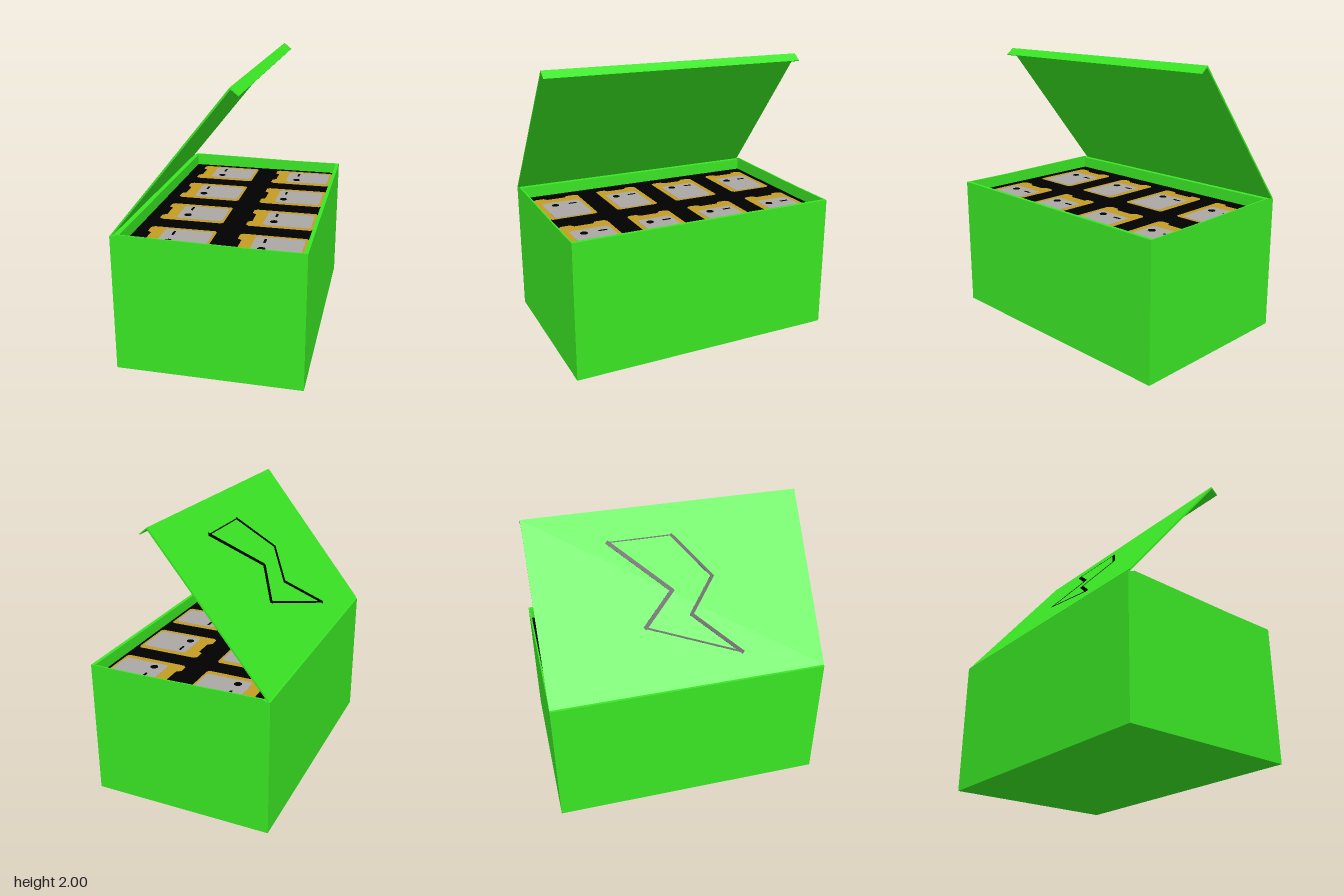
import * as THREE from 'three';

const mat = (name, color) => {
  const m = new THREE.MeshStandardMaterial({ color });
  m.name = name;
  return m;
};

export function createModel() {
  const green = mat('green', 0x3ae624);
  const black = mat('black', 0x000000);
  const gold = mat('gold', 0xc49c24);
  const grey = mat('grey', 0xaaa7a5);
  const root = new THREE.Group();
  root.name = 'openCrate';

  const add = (parent, name, geo, material, x = 0, y = 0, z = 0) => {
    const m = new THREE.Mesh(geo, material);
    m.name = name;
    m.position.set(x, y, z);
    parent.add(m);
    return m;
  };
  // Closed outline given as [x, z] pairs, raised into a flat slab along y
  const outline = (pts) => new THREE.Shape(pts.map(([x, z]) => new THREE.Vector2(x, -z)));
  const slab = (shape, depth) =>
    new THREE.ExtrudeGeometry(shape, { depth, bevelEnabled: false }).rotateX(-Math.PI / 2);
  // Rectangle with clipped corners
  const clipped = (x0, x1, z0, z1, c) => [
    [x0 + c, z0], [x1 - c, z0], [x1, z0 + c], [x1, z1 - c],
    [x1 - c, z1], [x0 + c, z1], [x0, z1 - c], [x0, z0 + c],
  ];

  // Crate: four walls (hole wound against the outer edge), floor and inner tray
  const W = 0.653, D = 0.983, H = 0.985, TRAY = 0.9;
  const wall = outline([[-W, D], [W, D], [W, -D], [-W, -D]]);
  wall.holes.push(outline([[-0.6, -0.972], [0.627, -0.972], [0.627, 0.972], [-0.6, 0.972]]));
  add(root, 'walls', slab(wall, H), green);
  add(root, 'floor', new THREE.BoxGeometry(2 * W - 0.02, 0.02, 2 * D - 0.02), green, 0, 0.0101, 0);
  add(root, 'tray', new THREE.BoxGeometry(1.23, 0.02, 1.95), black, 0.0135, TRAY - 0.01, 0);

  // Slightly sloping strips on the front and back rims
  const wedge = new THREE.Shape([
    new THREE.Vector2(-0.63, H), new THREE.Vector2(0.26, H), new THREE.Vector2(-0.6, 0.998),
  ]);
  for (const z of [-D, D - 0.011]) {
    add(root, 'rimStrip', new THREE.ExtrudeGeometry(wedge, { depth: 0.011, bevelEnabled: false }), green, 0, 0, z);
  }

  // Cards in the tray: two columns of four rows
  const rows = [
    { gold: [-0.93, -0.59], grey: [-0.895, -0.635], mark: 0.33, bar: -0.83, dot: -0.695 },
    { gold: [-0.445, -0.09], grey: [-0.405, -0.125], mark: 0.302, bar: -0.34, dot: -0.2 },
    { gold: [0.065, 0.395], grey: [0.105, 0.36], mark: 0.315, bar: 0.16, dot: 0.29 },
    { gold: [0.55, 0.91], grey: [0.58, 0.87], mark: 0.32, bar: 0.65, dot: 0.785 },
  ];
  for (const dx of [0, -0.64]) {
    for (const r of rows) {
      const card = new THREE.Group();
      card.name = 'card';
      card.position.set(dx, TRAY, 0);
      root.add(card);
      const [z0, z1] = r.gold, mid = (z0 + z1) / 2;
      // Gold backing with a notched left edge
      add(card, 'cardBorder', slab(outline([
        [0.15, z0], [0.59, z0], [0.605, z0 + 0.02], [0.605, z1 - 0.02], [0.59, z1], [0.15, z1],
        [0.13, z1 - 0.02], [0.13, mid + 0.09], [0.16, mid + 0.07],
        [0.16, mid - 0.07], [0.13, mid - 0.09], [0.13, z0 + 0.02],
      ]), 0.002), gold);
      add(card, 'cardPanel', slab(outline(clipped(0.245, 0.588, ...r.grey, 0.018)), 0.002), grey, 0, 0.002, 0);
      add(card, 'cardBar', new THREE.BoxGeometry(0.016, 0.002, 0.062), black, r.mark, 0.005, r.bar);
      add(card, 'cardDot', new THREE.CylinderGeometry(0.028, 0.028, 0.002, 8), black, r.mark, 0.005, r.dot);
    }
  }

  // Lid hinged on the right edge, tilted open
  const angle = Math.atan2(1.005, 0.805), L = 1.287, T = 0.012;
  const lid = new THREE.Group();
  lid.name = 'lid';
  lid.position.set(-0.636, 0.986, 0);
  lid.rotation.z = angle;
  root.add(lid);
  add(lid, 'lidPanel', new THREE.BoxGeometry(L, T, 2 * D), green, L / 2, T / 2, 0);
  add(lid, 'lidLip', new THREE.BoxGeometry(0.006, 0.062, 2 * D), green, L - 0.003, -0.031, 0);

  // Zigzag outline on the lid: [x seen from above, z, stroke width to the next corner]
  const bolt = [
    [0.02, -0.425, 0.028], [-0.22, -0.03, 0.028], [-0.365, -0.255, 0.013], [-0.53, 0.4, 0.026],
    [-0.335, 0.08, 0.024], [-0.18, 0.27, 0.022], [0.02, 0.025, 0.008],
  ];
  const along = (x) => (x + 0.645) / Math.cos(angle);
  bolt.forEach(([x, z, w], i) => {
    const [nx, nz] = bolt[(i + 1) % bolt.length];
    const du = along(nx) - along(x), dz = nz - z;
    const stroke = add(lid, 'zigzagStroke',
      new THREE.BoxGeometry(Math.hypot(du, dz) + w * 0.6, 0.002, w), black,
      along(x) + du / 2, T + 0.0005, z + dz / 2);
    stroke.rotation.y = -Math.atan2(dz, du);
  });

  return root;
}
